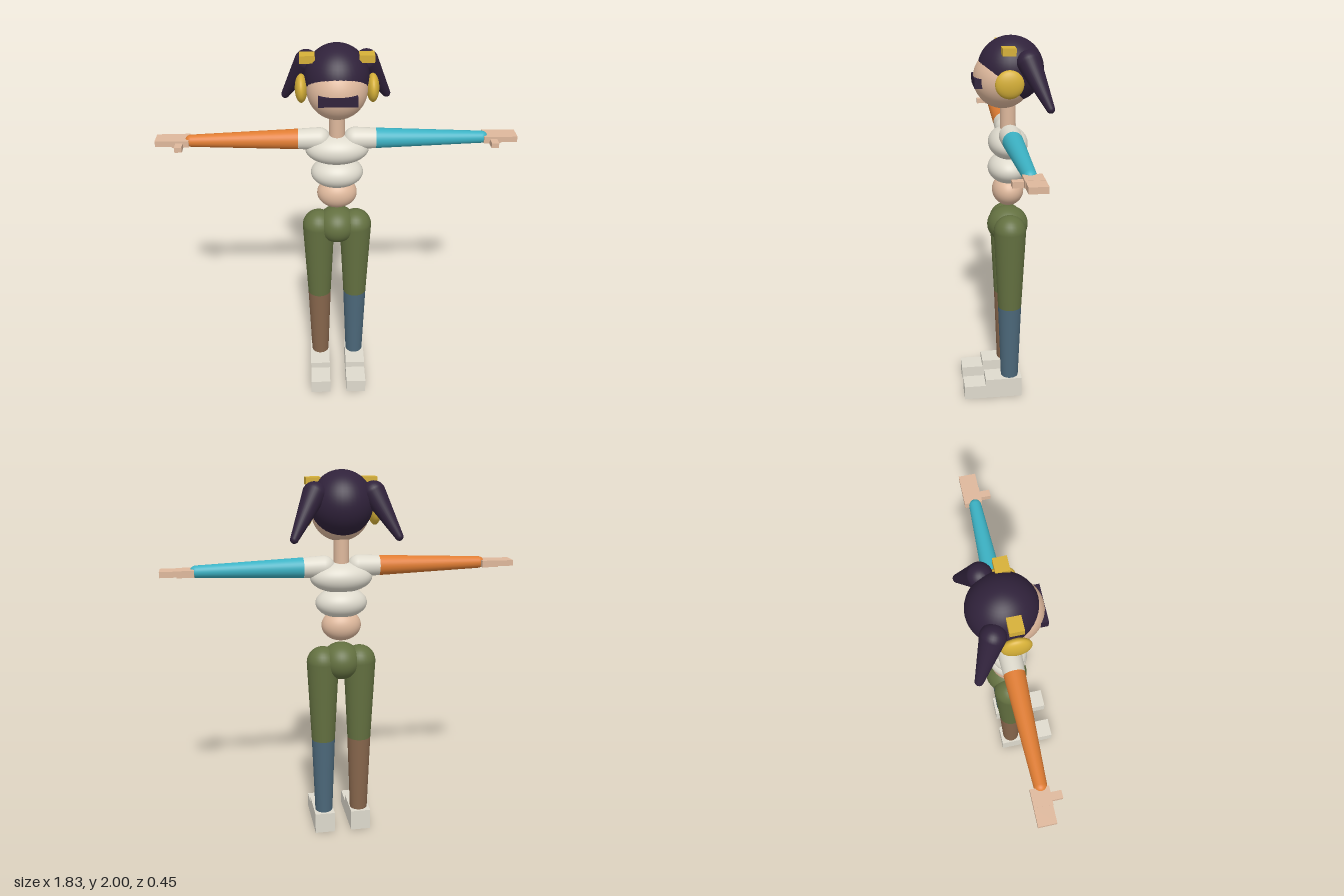
import * as THREE from 'three';

const mat = (name, color) => {
  const m = new THREE.MeshStandardMaterial({ color });
  m.name = name;
  return m;
};

export function createModel() {
  const skin = mat('skin', 0xdeb89c);
  const cloth = mat('offWhite', 0xdedacd);
  const hair = mat('darkHair', 0x30223b);
  const gold = mat('gold', 0xd6b038);
  const orange = mat('orange', 0xe07d33);
  const teal = mat('teal', 0x3cb2c4);
  const green = mat('olive', 0x637040);
  const brown = mat('brown', 0x87664c);
  const blue = mat('slateBlue', 0x4c687a);

  const model = new THREE.Group();
  model.name = 'figure';
  const Z = -0.032; // depth of the body axis

  const add = (name, geometry, material, x = 0, y = 0, z = 0) => {
    const mesh = new THREE.Mesh(geometry, material);
    mesh.name = name;
    mesh.position.set(x, y, z);
    model.add(mesh);
    return mesh;
  };

  const ball = (name, m, pos, radii) =>
    add(name, new THREE.SphereGeometry(1, 40, 28), m, ...pos).scale.set(...radii);

  // box given by its minimum and maximum on each axis
  const box = (name, m, [x0, x1], [y0, y1], [z0, z1]) =>
    add(name, new THREE.BoxGeometry(Math.abs(x1 - x0), y1 - y0, z1 - z0), m,
      (x0 + x1) / 2, (y0 + y1) / 2, (z0 + z1) / 2);

  // tapered limb from a to b, with optional round ends
  const limb = (name, m, a, b, ra, rb, roundA, roundB) => {
    const from = new THREE.Vector3(...a);
    const dir = new THREE.Vector3(...b).sub(from);
    const length = dir.length();
    const profile = [];
    const steps = 8;
    for (let i = roundA ? 0 : steps; i <= steps; i++) {
      const t = (i / steps) * Math.PI / 2;
      profile.push(new THREE.Vector2(ra * Math.sin(t), -ra * Math.cos(t)));
    }
    for (let i = 0; i <= (roundB ? steps : 0); i++) {
      const t = (i / steps) * Math.PI / 2;
      profile.push(new THREE.Vector2(rb * Math.cos(t), length + rb * Math.sin(t)));
    }
    const mesh = add(name, new THREE.LatheGeometry(profile, 32), m, ...a);
    mesh.quaternion.setFromUnitVectors(new THREE.Vector3(0, 1, 0), dir.normalize());
  };

  // head
  ball('head', skin, [0, 1.79, -0.005], [0.15, 0.15, 0.15]);
  ball('hairCap', hair, [0, 1.835, -0.045], [0.16, 0.165, 0.167]);
  box('visor', hair, [-0.095, 0.095], [1.757, 1.804], [0.106, 0.145]);
  limb('neck', skin, [0, 1.5, Z], [0, 1.68, Z], 0.04, 0.04);

  // torso
  ball('chest', cloth, [0, 1.457, Z], [0.163, 0.081, 0.102]);
  ball('waist', cloth, [0, 1.322, Z], [0.136, 0.08, 0.105]);
  ball('belly', skin, [0, 1.2, Z], [0.105, 0.083, 0.083]);
  ball('pelvis', green, [0, 1.002, Z], [0.105, 0.1, 0.11]);

  for (const s of [1, -1]) {
    const side = s > 0 ? 'left' : 'right';

    // hair ties, ear pieces and pigtails
    ball(side + 'EarPiece', gold, [s * 0.175, 1.79, -0.018], [0.031, 0.07, 0.071]);
    box(side + 'HairTie', gold, [s * 0.106, s * 0.18], [1.926, 1.963], [-0.05, 0.016]);
    limb(side + 'Pigtail', hair, [s * 0.148, 1.89, -0.115], [s * 0.26, 1.685, -0.205],
      0.06, 0.021, true, true);

    // arm: shoulder and sleeve
    limb(side + 'Shoulder', cloth, [s * 0.09, 1.513, Z], [s * 0.197, 1.512, Z], 0.057, 0.052, true);
    limb(side + 'Sleeve', s > 0 ? teal : orange, [s * 0.197, 1.512, Z], [s * 0.737, 1.51, Z],
      0.052, 0.031, false, true);

    // hand
    box(side + 'Palm', skin, [s * 0.746, s * 0.832], [1.49, 1.525], [-0.083, 0.005]);
    box(side + 'Fingers', skin, [s * 0.832, s * 0.915], [1.494, 1.524], [-0.083, 0.003]);
    box(side + 'Thumb', skin, [s * 0.775, s * 0.812], [1.487, 1.514], [0, 0.055]);

    // leg and shoe
    limb(side + 'Thigh', green, [s * 0.1, 0.997, Z], [s * 0.1, 0.553, Z], 0.086, 0.064, true);
    limb(side + 'Shin', s > 0 ? blue : brown, [s * 0.1, 0.553, Z], [s * 0.1, 0.1, Z], 0.064, 0.048);
    box(side + 'Shoe', cloth, [s * 0.047, s * 0.157], [0, 0.117], [-0.096, 0.108]);
    box(side + 'Toe', cloth, [s * 0.047, s * 0.157], [0, 0.08], [0.108, 0.228]);
  }

  return model;
}
